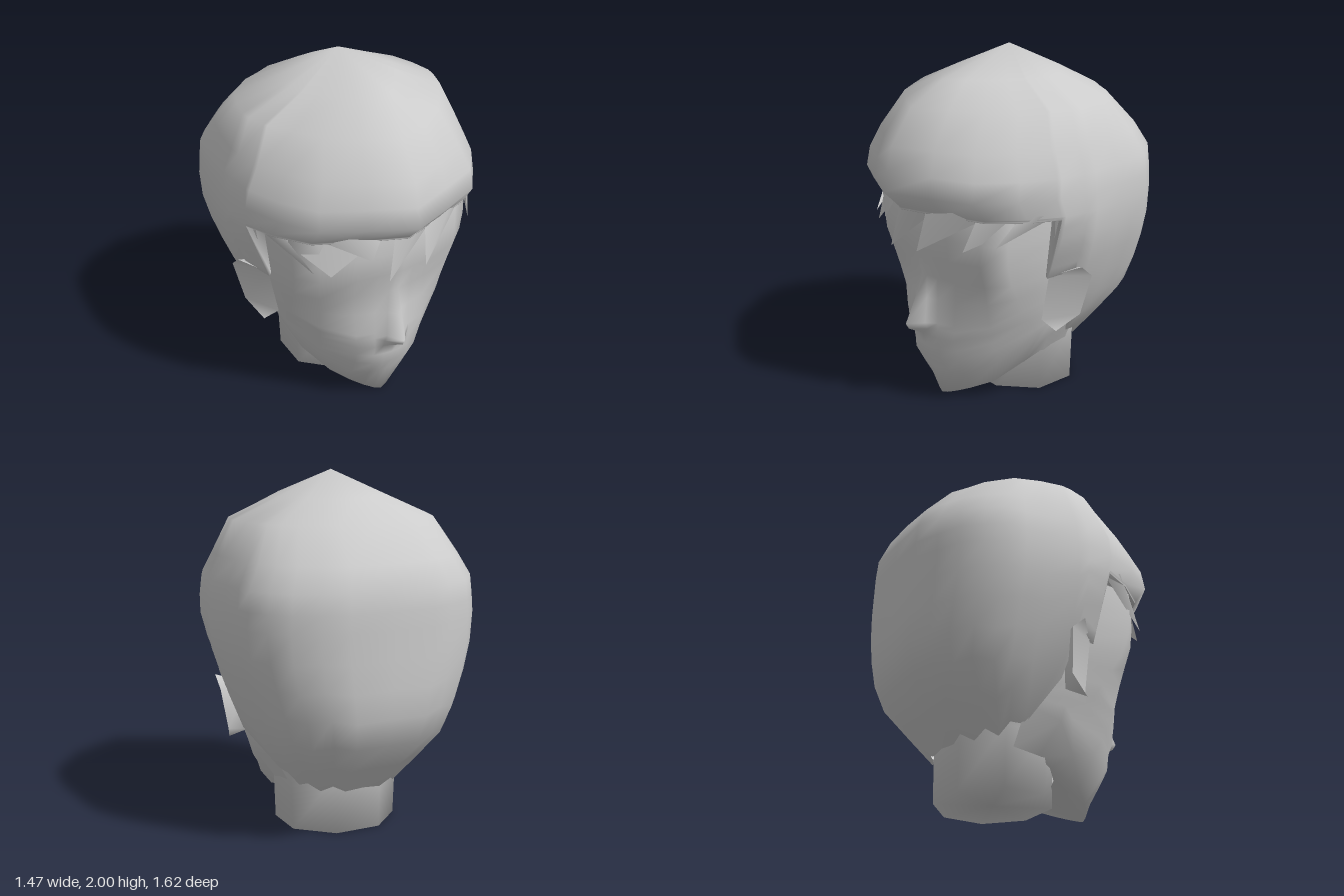
import * as THREE from 'three';
import { mergeVertices } from 'three/addons/utils/BufferGeometryUtils.js';

const material = new THREE.MeshStandardMaterial({ color: 0xcccccc, side: THREE.DoubleSide });

function makeMesh(name, points, index) {
  let g = new THREE.BufferGeometry();
  g.setAttribute('position', new THREE.Float32BufferAttribute(points.flat(), 3));
  g.setIndex(index);
  g = mergeVertices(g, 1e-4);
  g.computeVertexNormals();
  const mesh = new THREE.Mesh(g, material);
  mesh.name = name;
  return mesh;
}

// Skin over rows of points; rows run downwards, columns run towards +x at the front
function loft(name, rows, closed) {
  const n = rows[0].length, index = [];
  for (let r = 0; r < rows.length - 1; r++) {
    for (let c = 0; c < (closed ? n : n - 1); c++) {
      const a = r * n + c, b = r * n + (c + 1) % n;
      index.push(a, a + n, b, b, a + n, b + n);
    }
  }
  return makeMesh(name, rows.flat(), index);
}

// Linear lookup in a table of [key, value], keys descending
function lookup(table, k) {
  if (k >= table[0][0]) return table[0][1];
  for (let i = 1; i < table.length; i++) {
    const [k0, v0] = table[i - 1], [k1, v1] = table[i];
    if (k >= k1) return v1 + (v0 - v1) * (k - k1) / (k0 - k1);
  }
  return table[table.length - 1][1];
}

// Hair silhouettes by height: half width, front depth, back depth from the crown axis
const AXIS = -0.07;
const width = [[2, 0], [1.74, 0.59], [1.42, 0.72], [1.22, 0.74], [1.05, 0.725], [0.85, 0.665], [0.55, 0.54], [0.25, 0.32]];
const front = [[2, 0], [1.86, 0.47], [1.77, 0.67], [1.63, 0.75], [1.55, 0.82], [1.31, 0.88], [1.2, 0.77], [1.1, 0.75]];
const back = [[2, 0], [1.8, 0.42], [1.69, 0.58], [1.51, 0.7], [1.38, 0.73], [0.82, 0.74], [0.62, 0.72], [0.25, 0.4]];
// Flattening of the diagonals near the crown
const flatten = [[2, 0.13], [1.86, 0.13], [1.42, 0]];

// Hair plan from front to back: x, z, hem height, inward pull at the hem
const plan = [
  [0, 0.81, 1.19, 0], [0.25, 0.7, 1.19, 0], [0.48, 0.59, 1.19, 0], [0.62, 0.39, 1.19, 0],
  [0.7, 0.2, 1.19, 0], [0.71, 0.175, 0.81, 0.07], [0.73, 0.02, 0.85, 0.02], [0.735, -0.06, 0.57, 0],
  [0.72, -0.25, 0.34, 0], [0.705, -0.38, 0.34, 0], [0.69, -0.49, 0.27, 0], [0.62, -0.59, 0.3, 0],
  [0.53, -0.69, 0.25, 0], [0.39, -0.75, 0.29, 0], [0.25, -0.81, 0.25, 0], [0, -0.81, 0.26, 0],
];

function buildHair() {
  const mirrored = plan.slice(1, -1).reverse().map(([x, ...rest]) => [-x, ...rest]);
  const columns = [...plan, ...mirrored];
  const place = ([x, z, , pull], y, t = 0) => {
    const dz = z - AXIS;
    const depth = dz > 0 ? lookup(front, y) / 0.88 : lookup(back, y) / 0.74;
    const f = 1 - lookup(flatten, y) * (2 * x * dz / (x * x + dz * dz)) ** 2;
    return [(x - Math.sign(x) * pull * t) * f * lookup(width, y) / 0.74, y, AXIS + dz * f * depth];
  };
  const rows = [2, 1.86, 1.74, 1.55, 1.42, 1.31, 1.21].map(y => columns.map(c => place(c, y)));
  for (let i = 1; i <= 6; i++) {
    rows.push(columns.map(c => place(c, 1.21 + (c[2] - 1.21) * i / 6, i / 6)));
  }
  // Underside turned in towards the head, deepest below the fringe
  rows.push(rows[rows.length - 1].map(([x, y, z], i) => {
    const k = columns[i][2] > 1 ? 0.84 : 0.97;
    return [x * k, y + 0.01, AXIS + (z - AXIS) * k];
  }));
  return loft('hair', rows, true);
}

// Depth of the fringe line by sideways distance
const fringeTable = [[0, 0.7], [-0.25, 0.62], [-0.5, 0.49], [-0.62, 0.33], [-0.68, 0.12]];
const fringeZ = x => lookup(fringeTable, -Math.abs(x));

// Pointed lock of hair with a raised ridge
function lock(name, a, b, tip, bulge = 0.04) {
  const out = new THREE.Vector3((a[0] + b[0]) / 2, 0, (a[2] + b[2]) / 2).normalize().multiplyScalar(bulge);
  const ridge = [(a[0] + b[0]) / 2 + out.x, (a[1] + b[1]) / 2 + 0.02, (a[2] + b[2]) / 2 + out.z];
  return makeMesh(name, [a, b, tip, ridge], [0, 2, 3, 3, 2, 1]);
}

function buildFringe() {
  const group = new THREE.Group();
  group.name = 'fringe';
  const locks = [ // base start x, base end x, tip x, tip y
    [-0.67, -0.58, -0.48, 1.02], [-0.62, -0.13, -0.4, 1.0], [-0.45, -0.13, -0.2, 1.09],
    [-0.06, 0.19, -0.11, 0.95], [0.14, 0.46, 0.12, 0.98], [0.42, 0.64, 0.38, 1.02], [0.58, 0.66, 0.53, 1.06],
  ];
  for (const [a, b, t, ty] of locks) {
    group.add(lock('fringeLock', [a, 1.21, fringeZ(a) - 0.02], [b, 1.21, fringeZ(b) - 0.02], [t, ty, fringeZ(t) + 0.03]));
  }
  for (const s of [-1, 1]) {
    const rear = [s * 0.69, 1.2, 0.11], fore = [s * 0.65, 1.2, 0.17];
    group.add(lock('sideLock', s > 0 ? fore : rear, s > 0 ? rear : fore, [s * 0.57, 0.8, 0.1], 0.02));
  }
  return group;
}

function buildFace() {
  // Centre height, side height, half width, front z, cheek set-back, eye recess, nose height, nose half width
  const sections = [
    [1.4, 1.4, 0.58, 0.55, 0.1, 0, 0, 0.04], [1.2, 1.2, 0.585, 0.6, 0.1, 0, 0, 0.04], [1.05, 1.05, 0.575, 0.61, 0.1, 0, 0, 0.04],
    [0.92, 0.94, 0.565, 0.6, 0.1, 0, 0, 0.04], [0.78, 0.82, 0.55, 0.56, 0.1, 0.015, 0.005, 0.03],
    [0.65, 0.73, 0.53, 0.56, 0.13, 0.01, 0.06, 0.045], [0.51, 0.65, 0.51, 0.565, 0.16, 0, 0.125, 0.06],
    [0.475, 0.61, 0.5, 0.565, 0.17, 0, 0.105, 0.07], [0.42, 0.57, 0.49, 0.57, 0.19, 0, 0, 0.06],
    [0.35, 0.54, 0.48, 0.555, 0.2, 0.01, 0, 0.05], [0.29, 0.5, 0.47, 0.555, 0.22, 0.01, 0, 0.05],
    [0.19, 0.46, 0.455, 0.5, 0.21, 0.01, 0, 0.05],
  ];
  const halves = sections.map(([y, ys, w, z, cheek, eye, nose, nw]) => [
    [0, y, z + nose], [nw, y, z + nose * 0.3 - 0.004], [0.11, y, z - 0.015], [w * 0.42, y, z - cheek * 0.3 - eye],
    [w * 0.75, y + (ys - y) * 0.35, z - cheek], [w * 0.95, y + (ys - y) * 0.8, z - cheek * 2],
    [w, ys, 0.02], [w * 0.95, ys + 0.02, -0.2],
  ]);
  // Jaw edge, then the underside sloping back into the neck
  halves.push([[0, 0, 0.44], [0.04, 0.012, 0.43], [0.09, 0.03, 0.4], [0.15, 0.055, 0.35],
    [0.24, 0.1, 0.25], [0.36, 0.23, 0.13], [0.43, 0.38, 0.01], [0.42, 0.43, -0.2]]);
  halves.push([[0, 0.1, 0.16], [0.03, 0.1, 0.155], [0.07, 0.1, 0.15], [0.12, 0.11, 0.14],
    [0.2, 0.13, 0.11], [0.27, 0.17, 0.04], [0.315, 0.2, -0.06], [0.315, 0.22, -0.22]]);
  const rows = halves.map(h => [...h.slice(1).reverse().map(([x, y, z]) => [-x, y, z]), ...h]);
  return loft('face', rows, false);
}

// Ear plate, joined at its front edge and standing out at the back
function buildEar(side) {
  const rim = [
    [0.555, 0.82, 0.12], [0.685, 0.88, 0], [0.685, 0.81, -0.08], [0.63, 0.57, -0.05], [0.575, 0.485, 0.08], [0.5, 0.54, 0.12],
    [0.5, 0.82, -0.02], [0.49, 0.54, 0],
  ].map(([x, y, z]) => [side * x, y, z]);
  const outer = [0, 2, 1, 0, 3, 2, 0, 5, 3, 3, 5, 4];
  const rear = [6, 1, 2, 6, 0, 1, 6, 2, 3, 6, 3, 7, 7, 3, 4, 7, 4, 5];
  const group = new THREE.Group();
  group.name = side > 0 ? 'leftEar' : 'rightEar';
  for (const [name, index] of [['earOuter', outer], ['earRear', rear]]) {
    group.add(makeMesh(name, rim, side > 0 ? index : index.slice().reverse()));
  }
  return group;
}

// Eight-sided neck, flaring up into the head and closed below
function buildNeck() {
  const rows = [[0.6, 0.46, 0.3], [0.34, 0.335, 0.295], [0, 0.322, 0.295], [0, 0, 0]].map(([y, w, d]) =>
    Array.from({ length: 8 }, (_, i) => {
      const a = (i + 0.5) * Math.PI / 4, k = 1 / Math.cos(Math.PI / 8);
      return [0.012 + Math.sin(a) * w * k, y, -0.145 + Math.cos(a) * d * k];
    }));
  return loft('neck', rows, true);
}

export function createModel() {
  const model = new THREE.Group();
  model.name = 'head';
  model.add(buildHair(), buildFringe(), buildFace(), buildNeck(), buildEar(1), buildEar(-1));
  return model;
}
